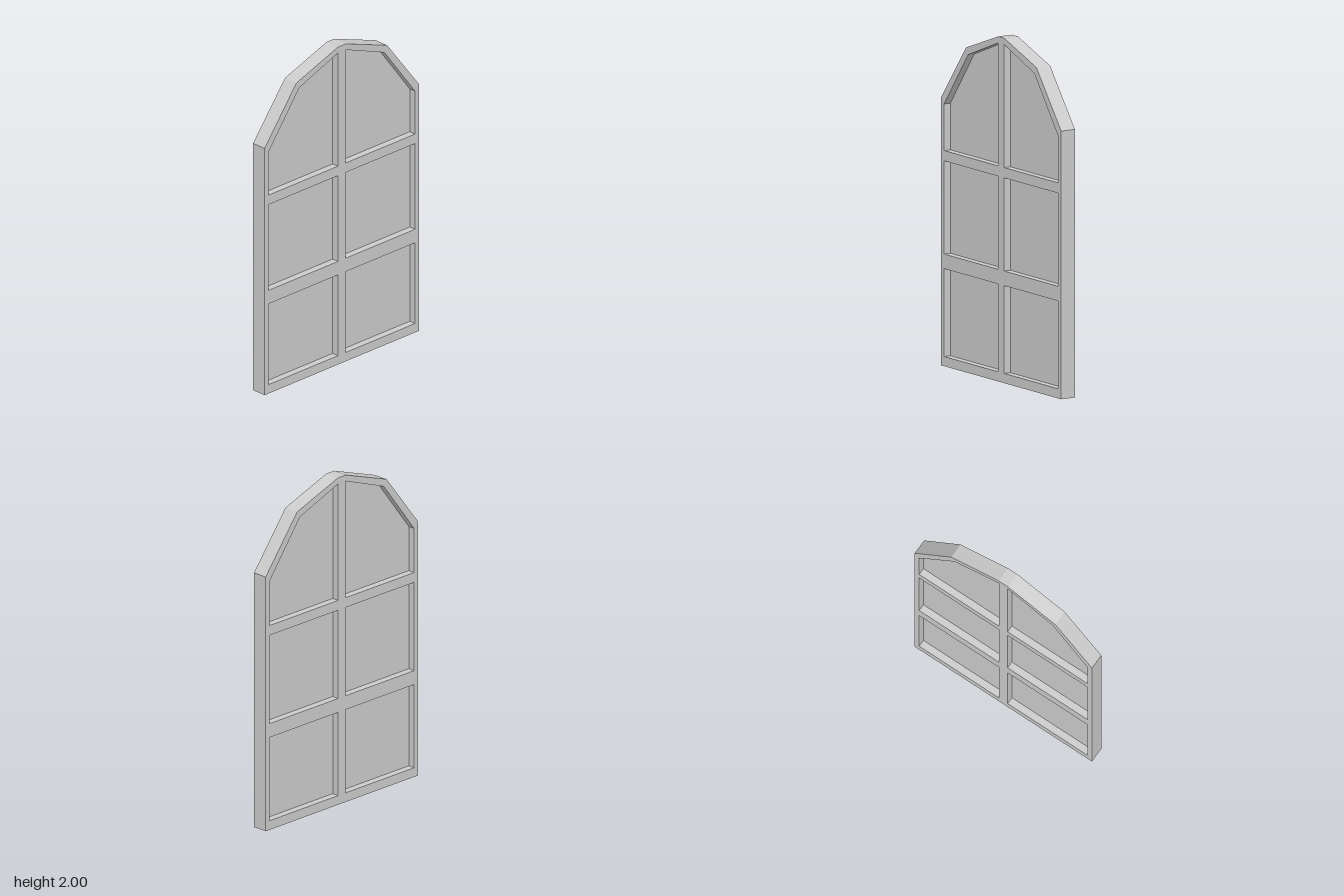
import * as THREE from 'three';

const THICKNESS = 0.094; // frame depth along x
const PANEL = 0.008;     // thin panel in the middle of the frame

// Extrudes a profile drawn in (z, y) and centres it on x = 0.
function slab(shape, depth, name, material) {
  const geometry = new THREE.ExtrudeGeometry(shape, { depth, bevelEnabled: false });
  geometry.translate(0, 0, -depth / 2);
  geometry.rotateY(-Math.PI / 2);
  const mesh = new THREE.Mesh(geometry, material);
  mesh.name = name;
  return mesh;
}

const toPoints = (list, side = 1) => list.map(([z, y]) => new THREE.Vector2(z * side, y));

export function createModel() {
  const group = new THREE.Group();
  group.name = 'archedPanelDoor';
  const material = new THREE.MeshStandardMaterial({ color: 0xcccccc, flatShading: true });

  // Half of the faceted arch outline, mirrored for the other half
  const half = [[0.613, 0], [0.613, 1.555], [0.36, 1.883], [0.032, 2]];
  const mirrored = half.map(([z, y]) => [-z, y]).reverse();
  const outline = new THREE.Shape(toPoints([...half, ...mirrored]));

  // Openings of one half: two rectangles and one under the arch
  const inner = 0.03, outer = 0.582;
  const rect = (y0, y1) => [[inner, y0], [outer, y0], [outer, y1], [inner, y1]];
  const openings = {
    lowerPanel: rect(0.056, 0.565),
    middlePanel: rect(0.65, 1.19),
    archPanel: [[inner, 1.25], [outer, 1.25], [outer, 1.52], [0.338, 1.845], [inner, 1.963]],
  };

  // Recessed panels, visible from both faces
  for (const [side, prefix] of [[1, 'front'], [-1, 'back']]) {
    for (const [name, corners] of Object.entries(openings)) {
      const points = toPoints(corners, side);
      outline.holes.push(new THREE.Path(points));
      const label = prefix + name[0].toUpperCase() + name.slice(1);
      group.add(slab(new THREE.Shape(points), PANEL, label, material));
    }
  }

  // Frame with stiles, rails and centre mullion in one piece
  group.add(slab(outline, THICKNESS, 'frame', material));
  return group;
}
